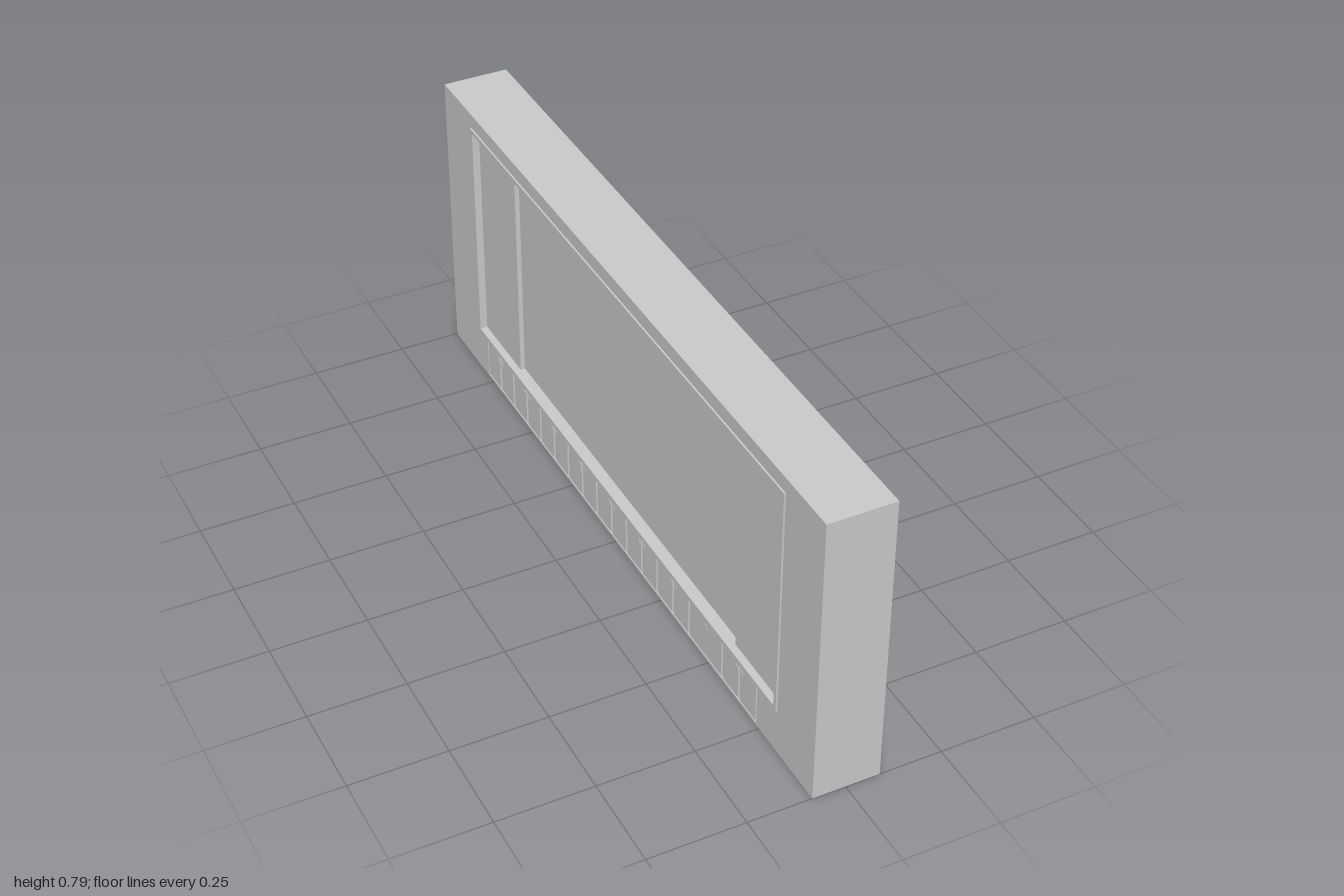
import * as THREE from 'three';

const material = new THREE.MeshStandardMaterial({ color: 0xcccccc, flatShading: true });

// Rectangle in the (z, y) plane, as an outline or a hole
function rect(z0, z1, y0, y1, Type = THREE.Shape) {
  const r = new Type();
  r.moveTo(z0, y0);
  r.lineTo(z1, y0);
  r.lineTo(z1, y1);
  r.lineTo(z0, y1);
  r.closePath();
  return r;
}

// Upright plate with openings, its face at xFace and its back at xBack
function plate(name, outline, holes, xFace, xBack) {
  outline.holes = holes;
  const geo = new THREE.ExtrudeGeometry(outline, { depth: xBack - xFace, bevelEnabled: false });
  geo.rotateY(-Math.PI / 2).translate(xBack, 0, 0);
  const mesh = new THREE.Mesh(geo, material);
  mesh.name = name;
  return mesh;
}

function block(name, x0, x1, y0, y1, z0, z1) {
  const geo = new THREE.BoxGeometry(x1 - x0, y1 - y0, z1 - z0);
  geo.translate((x0 + x1) / 2, (y0 + y1) / 2, (z0 + z1) / 2);
  const mesh = new THREE.Mesh(geo, material);
  mesh.name = name;
  return mesh;
}

export function createModel() {
  const model = new THREE.Group();
  model.name = 'wallUnit';

  const height = 0.789, face = -0.085, deep = -0.058;
  const win = { z: 0.818, y0: 0.133, y1: 0.739 };
  const bay = { z0: -0.782, z1: 0.736, y0: 0.006, y1: 0.118 };
  const opening = () => rect(-win.z, win.z, win.y0, win.y1, THREE.Path);

  // Solid core and the facing with a window and a low bay cut out
  model.add(block('core', deep, 0.0885, 0, height, -1, 1));
  model.add(plate('facing', rect(-1, 1, 0, height),
    [opening(), rect(bay.z0, bay.z1, bay.y0, bay.y1, THREE.Path)], face, deep));

  // Raised trim around the window
  model.add(plate('windowTrim', rect(-0.83, 0.83, 0.122, 0.75), [opening()], -0.0895, face));

  // Side panels, standing forward of the middle panel
  for (const s of [-1, 1]) {
    const [z0, z1] = s < 0 ? [-win.z, -0.6] : [0.6, win.z];
    model.add(block(s < 0 ? 'backSidePanel' : 'frontSidePanel', -0.07, deep, win.y0, win.y1, z0, z1));
  }

  // Row of small doors in the bay, in pairs, with one double-width door
  const doors = new THREE.Group();
  doors.name = 'doors';
  doors.add(block('bayBack', -0.081, deep, bay.y0, bay.y1, bay.z0, bay.z1));
  const step = (bay.z1 - bay.z0) / 18, gap = 0.005;
  for (let i = 0; i < 18; i++) {
    if (i === 15) continue;
    const wide = i === 14 ? 2 : 1;
    const z0 = bay.z0 + i * step + gap, z1 = bay.z0 + (i + wide) * step - gap;
    doors.add(block('door', face, -0.081, bay.y0 + 0.004, bay.y1 - 0.004, z0, z1));
    // Handle beside the edge shared with the neighbouring door
    const h = wide === 2 ? (z0 + z1) / 2 : i % 2 ? z0 + 0.008 : z1 - 0.008;
    doors.add(block('handle', -0.0865, face, 0.095, 0.107, h - 0.004, h + 0.004));
  }
  model.add(doors);

  return model;
}
